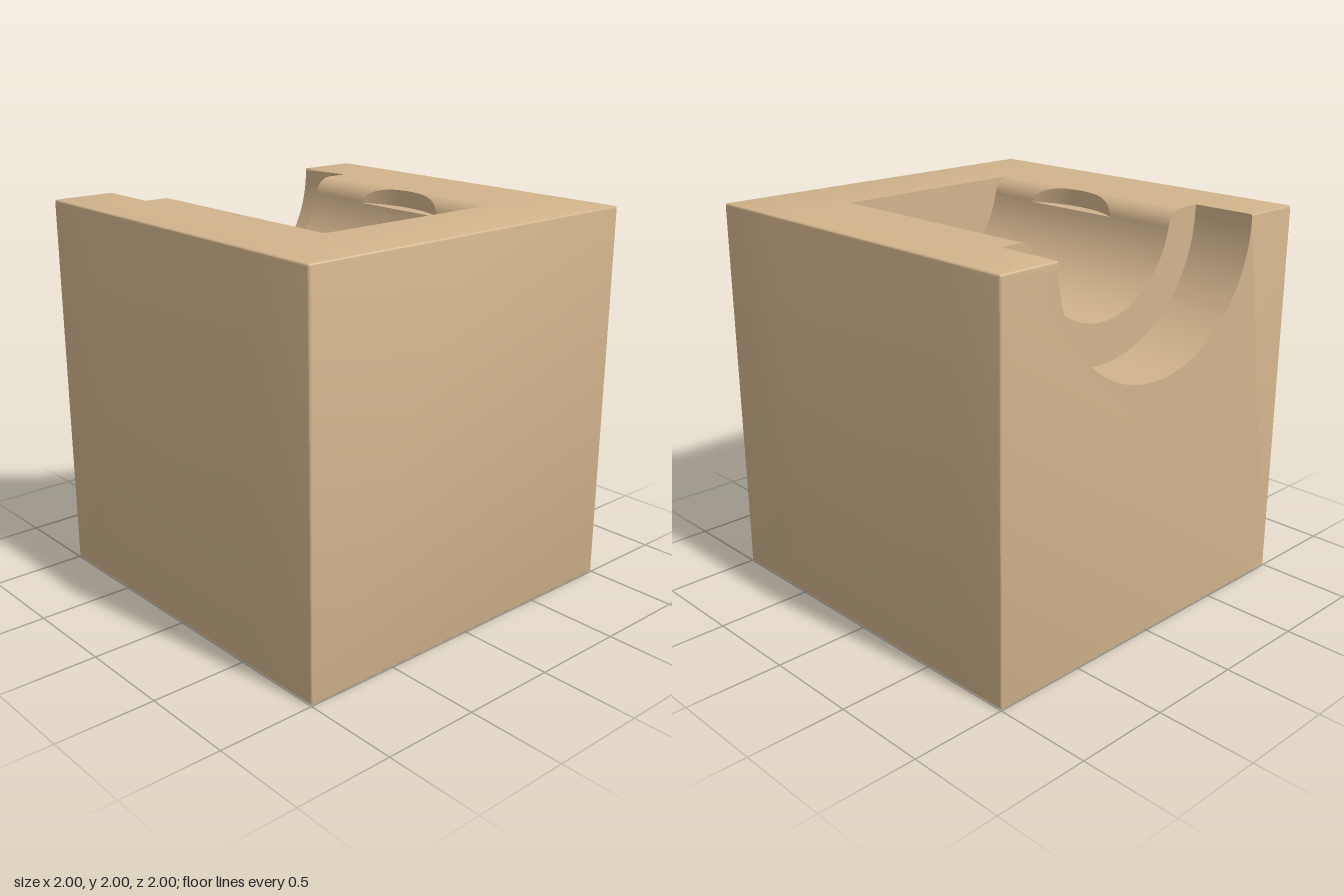
import * as THREE from 'three';
import { mergeGeometries, toCreasedNormals } from 'three/addons/utils/BufferGeometryUtils.js';

const TOP = 2, BEVEL = 0.012;
const STEP_X = -0.66, END_X = 0.57;        // where the wide mouth and the trough stop
const MOUTH_R = 0.672, TROUGH_R = 0.47;
const LIP_Z = 0.56, LIP_R = (LIP_Z ** 2 - TROUGH_R ** 2) / (2 * TROUGH_R); // rounded lip, tangent to the trough
const POCKET_R = 0.54, POCKET_Y = TOP - 0.09;
const POCKET_Z = Math.sqrt(TROUGH_R ** 2 - 0.09 ** 2);

const range = (n, f) => Array.from({ length: n + 1 }, (_, i) => f(i / n));
const flip = (path) => path.map(([z, y]) => [-z, y]).reverse();
const at = (x, path) => path.map(([z, y]) => [x, y, z]);

// Grid of points (rows run along +x) turned into quads
function sheet(rows) {
  const out = [];
  for (let i = 0; i + 1 < rows.length; i++) {
    for (let j = 0; j + 1 < rows[i].length; j++) {
      const a = rows[i][j], b = rows[i][j + 1], c = rows[i + 1][j + 1], d = rows[i + 1][j];
      out.push(...a, ...b, ...c, ...a, ...c, ...d);
    }
  }
  const g = new THREE.BufferGeometry();
  g.setAttribute('position', new THREE.Float32BufferAttribute(out, 3));
  return g;
}

// Flat wall across x, outlined by [z, y] points, facing +x or -x
function wall(x, path, dir) {
  const shape = new THREE.Shape(path.map(([z, y]) => new THREE.Vector2(z, y)));
  const g = new THREE.ShapeGeometry(shape).toNonIndexed();
  g.deleteAttribute('uv');
  g.deleteAttribute('normal');
  return g.rotateY(dir * Math.PI / 2).translate(x, 0, 0);
}

// Outside of the block from lip to lip, passing under the bottom; r is the corner radius left
function outline(r, lip) {
  const h = 1 - BEVEL;
  const corner = (z, y, a0) => range(3, (t) => {
    const a = a0 - t * Math.PI / 2;
    return [z + r * Math.cos(a), y + r * Math.sin(a)];
  });
  const top = TOP - BEVEL + r;
  return [[lip, top],
    ...corner(h, TOP - BEVEL, Math.PI / 2), ...corner(h, BEVEL, 0),
    ...corner(-h, BEVEL, -Math.PI / 2), ...corner(-h, TOP - BEVEL, -Math.PI),
    [-lip, top]];
}

// Wide half-round mouth, from -z to +z
function mouth(top) {
  const arc = range(48, (t) => {
    const a = Math.PI * (1 + t);
    return [MOUTH_R * Math.cos(a), TOP - BEVEL + MOUTH_R * Math.sin(a)];
  });
  return [[-MOUTH_R, top], ...arc, [MOUTH_R, top]];
}

// Lip on the +z side, from the pocket floor level up to the flat top
function lipPath() {
  const t0 = Math.atan2(LIP_R, LIP_Z), t1 = Math.acos((LIP_Z - POCKET_R) / LIP_R);
  const point = (a) => [LIP_Z - LIP_R * Math.cos(a), TOP - LIP_R + LIP_R * Math.sin(a)];
  return [[POCKET_Z, POCKET_Y],
    ...range(18, (t) => point(t0 + (t1 - t0) * t)),
    ...range(4, (t) => point(t1 + (Math.PI / 2 - t1) * t)).slice(1)];
}

export function createModel() {
  const model = new THREE.Group();
  const tan = new THREE.MeshStandardMaterial({ color: 0xd2b48c, side: THREE.DoubleSide });
  tan.name = 'tan';
  const add = (name, parts) => {
    const mesh = new THREE.Mesh(toCreasedNormals(mergeGeometries(parts), 0.35), tan);
    mesh.name = name;
    model.add(mesh);
  };

  // Block shell with softened edges
  const bevel = range(3, (t) => {
    const a = t * Math.PI / 2;
    return { x: 1 - BEVEL + BEVEL * Math.sin(a), r: BEVEL * Math.cos(a) };
  });
  const mouthRows = [...bevel].reverse().map(({ x, r }) => at(-x, outline(r, MOUTH_R)));
  add('blockShell', [
    sheet([...mouthRows, at(STEP_X, outline(BEVEL, MOUTH_R))]),
    sheet([STEP_X, END_X].map((x) => at(x, outline(BEVEL, LIP_Z)))),
    sheet([at(END_X, outline(BEVEL, 0)), ...bevel.map(({ x, r }) => at(x, outline(r, 0)))]),
    wall(1, outline(0, 0), 1),
    wall(-1, [...outline(0, MOUTH_R), ...mouth(TOP - BEVEL)], -1),
  ]);

  // Wide mouth at the open end
  add('mouth', [sheet([at(-1, mouth(TOP - BEVEL)), at(STEP_X, mouth(TOP))])]);

  // Trough with rounded lips, notched by the round pocket
  const lip = lipPath();
  const a0 = Math.atan2(POCKET_Y - TOP, POCKET_Z);
  const arc = range(44, (t) => {
    const a = -Math.PI - a0 + (Math.PI + 2 * a0) * t;
    return [TROUGH_R * Math.cos(a), TOP + TROUGH_R * Math.sin(a)];
  });
  const notch = (z) => Math.sqrt(Math.max(0, POCKET_R ** 2 - z * z));
  const trough = [sheet([at(STEP_X, arc), at(END_X, arc)])];
  for (const path of [lip, flip(lip)]) {
    const cut = (s) => path.map(([z, y]) => [s * notch(z), y, z]);
    trough.push(sheet([at(STEP_X, path), cut(-1)]), sheet([cut(1), at(END_X, path)]));
  }
  add('trough', trough);

  // Step between mouth and trough, and the far end of the trough
  const inner = [...flip(lip), ...arc.slice(1, -1), ...lip];
  add('stepWall', [wall(STEP_X, [...inner, ...mouth(TOP).reverse()], -1)]);
  add('endWall', [wall(END_X, inner, -1)]);

  // Crescent pockets in both lips
  const half = Math.asin(notch(POCKET_Z) / POCKET_R);
  const lipHeight = (z) => Math.max(POCKET_Y,
    TOP - LIP_R + Math.sqrt(Math.max(0, LIP_R ** 2 - (LIP_Z - z) ** 2)));
  for (const s of [1, -1]) {
    const floor = [], side = [];
    range(32, (t) => {
      const a = half * (2 * t - 1), x = POCKET_R * Math.sin(a), z = POCKET_R * Math.cos(a);
      const f = [[x, POCKET_Y, s * POCKET_Z], [x, POCKET_Y, s * z]];
      const w = [[x, POCKET_Y, s * z], [x, lipHeight(z), s * z]];
      floor.push(s > 0 ? f : f.reverse());
      side.push(s > 0 ? w : w.reverse());
    });
    add(s > 0 ? 'frontPocket' : 'backPocket', [sheet(floor), sheet(side)]);
  }
  return model;
}
